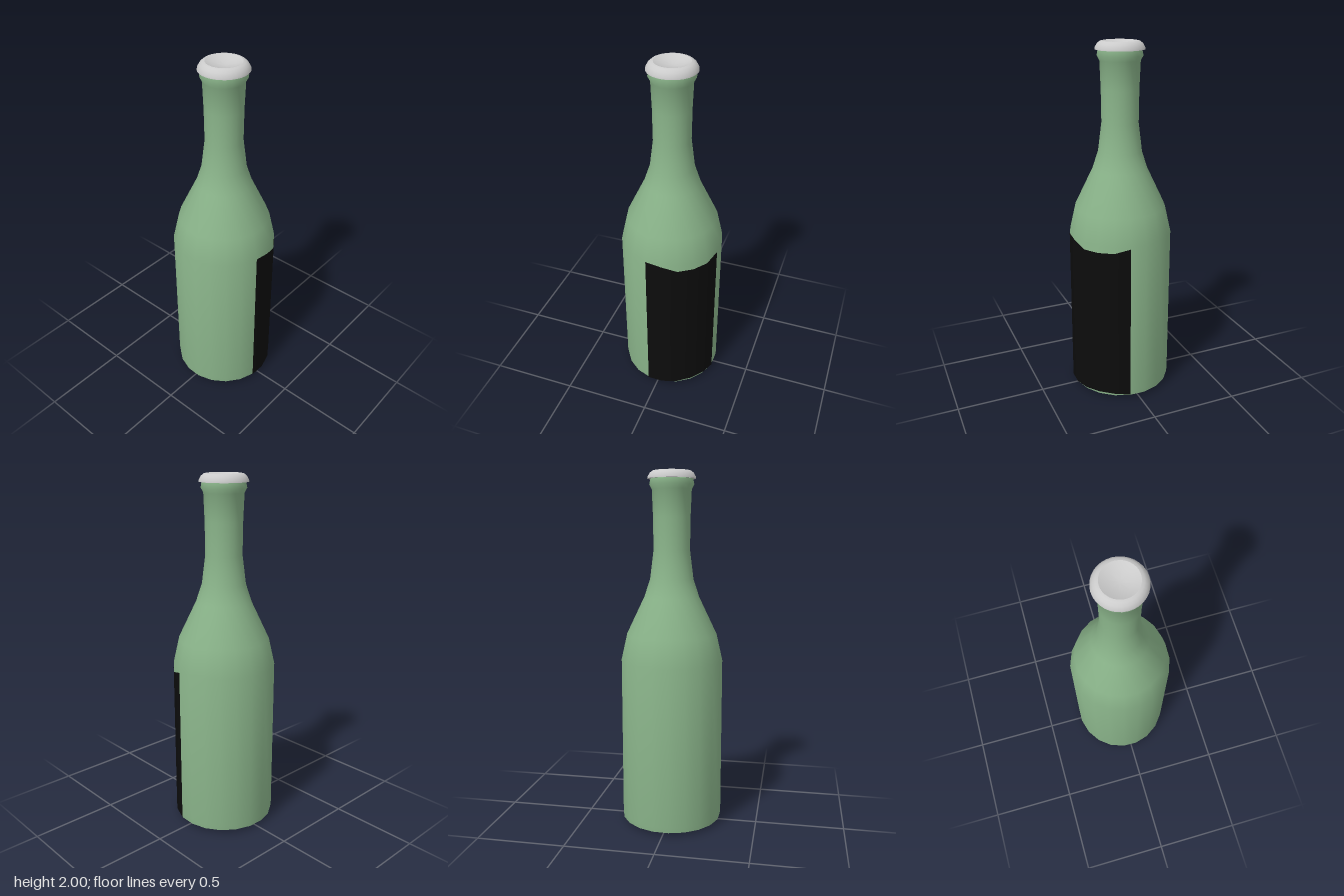
import * as THREE from 'three';
import { toCreasedNormals } from 'three/addons/utils/BufferGeometryUtils.js';

const deg = Math.PI / 180;

// Revolve a profile of [radius, height] pairs, listed from bottom to top.
function revolve(name, profile, sides, start, color, crease) {
  const points = profile.map(([r, y]) => new THREE.Vector2(r, y));
  const geometry = toCreasedNormals(new THREE.LatheGeometry(points, sides, start), crease);
  const mesh = new THREE.Mesh(geometry, new THREE.MeshStandardMaterial({ color }));
  mesh.name = name;
  return mesh;
}

// Curved sheet following the facets of the body, with an uneven top and bottom edge.
function makeLabel(radius, start, step, bottoms, tops) {
  const positions = [], normals = [], index = [];
  tops.forEach((top, i) => {
    const a = start + i * step;
    const nx = Math.sin(a), nz = Math.cos(a);
    for (const y of [bottoms[i], top]) {
      positions.push(radius * nx, y, radius * nz);
      normals.push(nx, 0, nz);
    }
    if (i > 0) {
      const k = 2 * (i - 1);
      index.push(k, k + 2, k + 1, k + 2, k + 3, k + 1);
    }
  });
  const geometry = new THREE.BufferGeometry();
  geometry.setAttribute('position', new THREE.Float32BufferAttribute(positions, 3));
  geometry.setAttribute('normal', new THREE.Float32BufferAttribute(normals, 3));
  geometry.setIndex(index);
  const material = new THREE.MeshStandardMaterial({ color: 0x0c0c0c, side: THREE.DoubleSide });
  const mesh = new THREE.Mesh(geometry, material);
  mesh.name = 'label';
  return mesh;
}

export function createModel() {
  const group = new THREE.Group();
  group.name = 'bottle';
  const sides = 20, start = 79 * deg, step = 2 * Math.PI / sides;

  // Glass: base, straight wall, shoulder, neck and lip
  group.add(revolve('glassBody', [
    [0, 0.005], [0.23, 0], [0.286, 0.02], [0.289, 0.05], [0.289, 0.95],
    [0.255, 1.1], [0.155, 1.31], [0.122, 1.41], [0.102, 1.57], [0.104, 1.75],
    [0.11, 1.9], [0.124, 1.925], [0.118, 1.955], [0.1, 1.96],
  ], sides, start, 0x8ab48a, 0.8));

  // Cap: rounded rim around a shallow dish
  group.add(revolve('cap', [
    [0.1, 1.958], [0.134, 1.956], [0.133, 1.965], [0.122, 1.985],
    [0.108, 1.997], [0.095, 2], [0.06, 1.986], [0.02, 1.979], [0, 1.978],
  ], 32, 0, 0xcccccc, 0.5));

  // Label wrapped around a quarter of the wall
  group.add(makeLabel(0.291, start, step,
    [0.022, 0.025, 0.03, 0.035, 0.034, 0.025],
    [0.95, 0.94, 0.912, 0.912, 0.915, 0.94]));

  return group;
}
